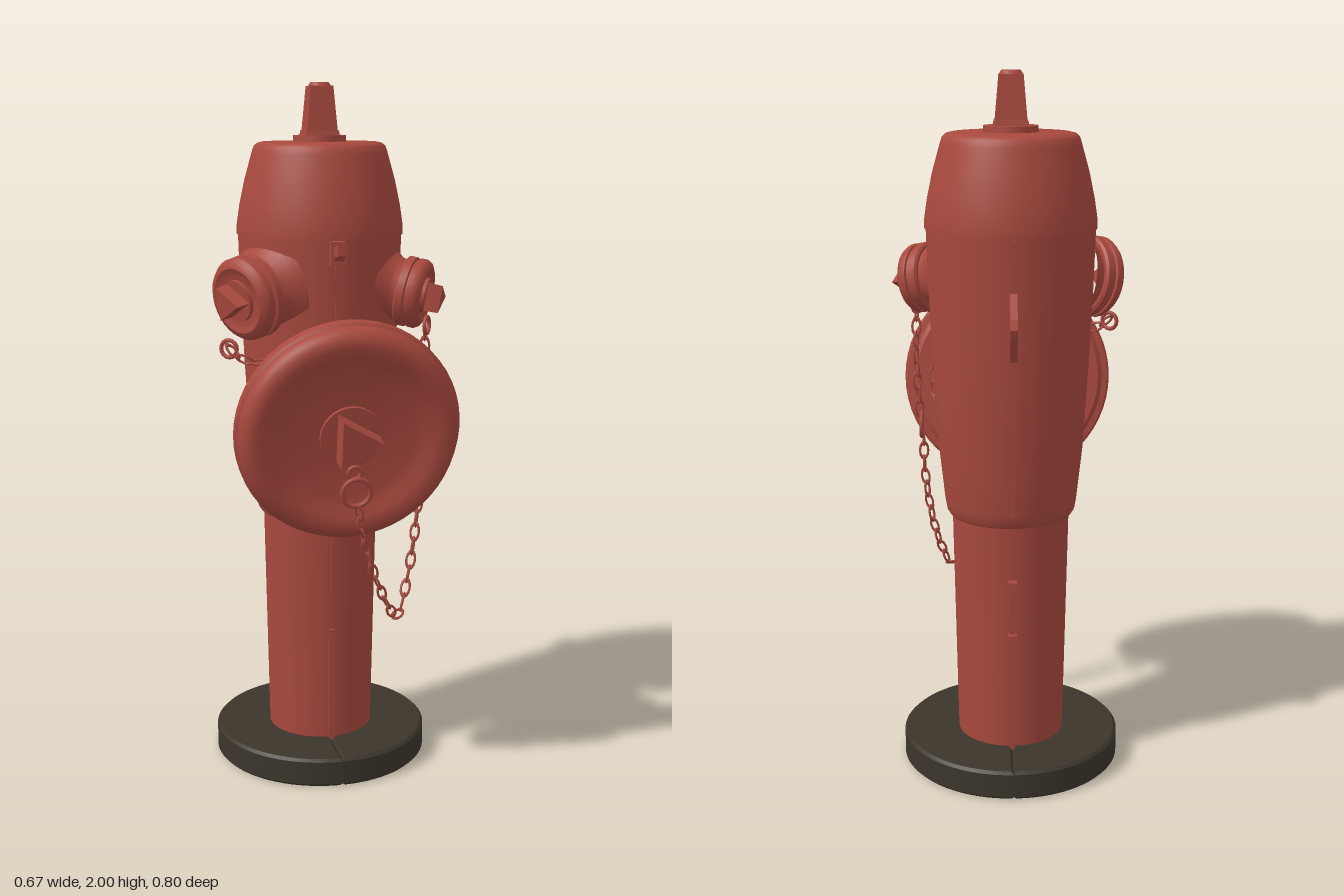
import * as THREE from 'three';
import { toCreasedNormals } from 'three/addons/utils/BufferGeometryUtils.js';

const AX = 0.01, AZ = -0.08;   // centre line of the barrel
const TILT = 0.17;             // downward tilt of the outlets

export function createModel() {
  const root = new THREE.Group();
  root.name = 'fireHydrant';
  const red = new THREE.MeshStandardMaterial({ color: 0xa8493e });
  red.name = 'red paint';
  const dark = new THREE.MeshStandardMaterial({ color: 0x3b352b });
  dark.name = 'dark base';

  const add = (parent, name, geo, mat = red, x = 0, y = 0, z = 0) => {
    const m = new THREE.Mesh(geo, mat);
    m.name = name;
    m.position.set(x, y, z);
    parent.add(m);
    return m;
  };
  const lathe = (pts, seg = 48) => toCreasedNormals(
    new THREE.LatheGeometry(pts.map(p => new THREE.Vector2(p[0], p[1])), seg), 0.6);
  // Turned part whose axis runs along +z
  const latheZ = (pts, seg) => lathe(pts, seg).rotateX(Math.PI / 2);
  // Triangular prism nut along +z, one corner towards +x
  const triNut = (r0, r1, h) => toCreasedNormals(
    new THREE.CylinderGeometry(r1, r0, h, 3, 1, false, Math.PI / 2), 0.3).rotateX(Math.PI / 2);

  // Split base ring, two halves with a narrow gap
  for (const s of [1, -1]) {
    const R = 0.307, r = 0.153, g = 0.006;
    const a = Math.acos(g / R), b = Math.acos(g / r);
    const shape = new THREE.Shape();
    shape.absarc(0, 0, R, -a, a, false);
    shape.absarc(0, 0, r, b, -b, true);
    const geo = new THREE.ExtrudeGeometry(shape, {
      depth: 0.069, bevelEnabled: true, bevelThickness: 0.008, bevelSize: 0.008,
      bevelOffset: 0, bevelSegments: 1, curveSegments: 20,
    });
    geo.rotateX(-Math.PI / 2).translate(0.002, 0.008, 0);
    const half = add(root, s > 0 ? 'baseLeftHalf' : 'baseRightHalf', toCreasedNormals(geo, 0.5), dark, AX, 0, AZ);
    if (s < 0) half.rotation.y = Math.PI;
  }

  // Barrel: lower column and wider upper body
  add(root, 'column', lathe([[0, 0.002], [0.153, 0.002], [0.155, 0.1], [0.168, 0.77]]), red, AX, 0, AZ);
  add(root, 'body', lathe([
    [0.16, 0.758], [0.176, 0.76], [0.184, 0.772], [0.189, 0.8], [0.205, 0.95],
    [0.22, 1.2], [0.23, 1.42], [0.235, 1.58],
  ]), red, AX, 0, AZ);
  add(root, 'bonnet', lathe([
    [0.22, 1.578], [0.239, 1.578], [0.239, 1.6], [0.23, 1.66], [0.215, 1.73], [0.194, 1.805],
    [0.188, 1.824], [0.178, 1.833], [0.165, 1.836], [0, 1.838],
  ]), red, AX, 0, AZ);

  // Operating nut on top
  add(root, 'topWasher', new THREE.CylinderGeometry(0.075, 0.076, 0.018, 32), red, AX, 1.845, AZ);
  const square = (w0, w1, h) => toCreasedNormals(
    new THREE.CylinderGeometry(w1 * Math.SQRT1_2, w0 * Math.SQRT1_2, h, 4), 0.3).rotateY(Math.PI / 4);
  add(root, 'topNutFoot', square(0.098, 0.092, 0.016), red, AX, 1.86, AZ);
  add(root, 'topNut', square(0.087, 0.066, 0.124), red, AX, 1.928, AZ);
  add(root, 'topNutTip', lathe([[0.034, 1.988], [0.026, 2], [0.019, 2], [0.014, 1.991], [0, 1.991]], 20), red, AX, 0, AZ);

  // Casting ribs, front and back
  const rib = (name, side, y0, r0, y1, r1, w, d) => {
    const m = add(root, name, new THREE.BoxGeometry(w, Math.hypot(y1 - y0, r1 - r0), d), red,
      AX, (y0 + y1) / 2, AZ + side * (r0 + r1) / 2);
    m.rotation.x = side * Math.atan2(r1 - r0, y1 - y0);
  };
  rib('frontColumnRib', 1, 0.01, 0.156, 0.43, 0.163, 0.016, 0.016);
  rib('frontSeam', 1, 0.43, 0.161, 0.76, 0.167, 0.007, 0.008);
  rib('frontUpperSeam', 1, 1.3, 0.224, 1.575, 0.235, 0.01, 0.008);
  rib('backColumnRib', -1, 0.01, 0.156, 0.6, 0.166, 0.016, 0.018);
  rib('backBodySeam', -1, 0.8, 0.19, 1.57, 0.235, 0.014, 0.01);
  for (const y of [0.43, 0.59])
    add(root, 'backRibKnob', new THREE.BoxGeometry(0.024, 0.025, 0.03), red, AX, y, AZ - 0.17);

  // Plate cut in the side plane, first axis is z
  const sidePlate = (name, pts, w, hole) => {
    const shape = new THREE.Shape(pts.map(p => new THREE.Vector2(-p[0], p[1])));
    if (hole) shape.holes.push(new THREE.Path().absarc(-hole[0], hole[1], hole[2], 0, Math.PI * 2, true));
    const geo = new THREE.ExtrudeGeometry(shape, { depth: w, bevelEnabled: false, curveSegments: 10 });
    add(root, name, geo.translate(0, 0, -w / 2).rotateY(Math.PI / 2), red, AX);
  };
  sidePlate('backLug', [[-0.29, 1.24], [-0.315, 1.25], [-0.36, 1.32], [-0.37, 1.345], [-0.36, 1.37], [-0.315, 1.43], [-0.29, 1.44]],
    0.02, [-0.338, 1.345, 0.014]);
  sidePlate('frontLatch', [[0.13, 1.505], [0.165, 1.51], [0.185, 1.535], [0.22, 1.54], [0.22, 1.57], [0.17, 1.56], [0.13, 1.575]], 0.028);
  add(root, 'frontLatchBlock', new THREE.BoxGeometry(0.045, 0.065, 0.04), red, AX, 1.543, 0.155);

  // Large front outlet with its cap
  const outlet = new THREE.Group();
  outlet.name = 'frontOutlet';
  outlet.position.set(AX, 1.085, 0.22);
  outlet.rotation.x = TILT;
  root.add(outlet);
  add(outlet, 'outletNeck', latheZ([
    [0.2, -0.32], [0.218, -0.22], [0.212, -0.16], [0.2, -0.12], [0.195, -0.08], [0.2, -0.05], [0.225, -0.03], [0.23, 0.005],
  ]));
  add(outlet, 'outletCap', latheZ([
    [0.18, -0.002], [0.275, -0.002], [0.285, 0.006], [0.285, 0.034], [0.29, 0.04], [0.307, 0.042], [0.313, 0.05],
    [0.313, 0.078], [0.306, 0.084], [0.306, 0.095], [0.298, 0.113], [0.282, 0.126], [0.26, 0.13],
    [0.235, 0.124], [0.21, 0.112], [0.18, 0.105], [0, 0.105],
  ], 56));
  add(outlet, 'capBoss', latheZ([[0.088, 0.1], [0.086, 0.113], [0, 0.114]], 32));
  add(outlet, 'capNut', triNut(0.08, 0.077, 0.07), red, 0, 0, 0.14);
  add(outlet, 'capRing', new THREE.TorusGeometry(0.04, 0.007, 8, 24), red, 0.015, -0.155, 0.135);
  add(outlet, 'capRingEye', new THREE.TorusGeometry(0.018, 0.006, 8, 16), red, 0.01, -0.1, 0.125);

  // Two side outlets; the right one is larger
  const sideOutlet = (name, turn, k) => {
    const g = new THREE.Group();
    g.name = name;
    g.position.set(AX, 1.465, AZ);
    g.rotation.set(TILT, turn, 0, 'YXZ');
    root.add(g);
    add(g, 'nozzle', latheZ([[0.125, 0.19], [0.108, 0.212], [0.092, 0.232], [0.086, 0.25], [0.086, 0.27]].map(p => [p[0] * k, p[1]]), 32));
    add(g, 'nozzleCap', latheZ([
      [0.07, 0.252], [0.094, 0.252], [0.1, 0.257], [0.1, 0.278], [0.093, 0.281], [0.093, 0.288], [0.099, 0.29],
      [0.099, 0.306], [0.092, 0.318], [0.078, 0.325], [0.068, 0.32], [0.058, 0.317], [0, 0.317],
    ].map(p => [p[0] * k, p[1]]), 32));
    add(g, 'nozzleBoss', latheZ([[0.05 * k, 0.31], [0.049 * k, 0.328], [0, 0.328]], 24));
    add(g, 'nozzleNut', triNut(0.048 * k, 0.045 * k, 0.05), red, 0, 0, 0.345);
  };
  sideOutlet('leftOutlet', Math.PI * 0.333, 1);
  sideOutlet('rightOutlet', -Math.PI * 0.32, 1.18);

  // Chains made of alternating oval links
  const linkGeo = new THREE.TorusGeometry(0.0125, 0.0035, 5, 12).scale(1, 1.9, 1).rotateX(Math.PI / 2);
  const chain = (name, pts, closed = false) => {
    const g = new THREE.Group();
    g.name = name;
    root.add(g);
    const curve = new THREE.CatmullRomCurve3(pts.map(p => new THREE.Vector3(...p)), closed);
    const n = Math.round(curve.getLength() / 0.042);
    for (let i = 0; i < n; i++) {
      const u = (i + 0.5) / n, p = curve.getPointAt(u);
      const link = add(g, 'link', linkGeo, red, p.x, p.y, p.z);
      link.lookAt(p.clone().add(curve.getTangentAt(u)));
      link.rotateZ(0.4 + (i % 2) * Math.PI / 2);
    }
  };
  chain('leftNozzleChain', [[0.278, 1.33, 0.09], [0.283, 1.18, 0.09], [0.275, 1.0, 0.1]]);
  chain('capChain', [[0.03, 0.87, 0.33], [0.05, 0.78, 0.295], [0.11, 0.61, 0.25], [0.18, 0.5, 0.19],
    [0.225, 0.6, 0.14], [0.26, 0.8, 0.11], [0.265, 0.95, 0.1]]);
  chain('rightNozzleChain', [[-0.29, 1.29, 0.11], [-0.26, 1.26, 0.13], [-0.2, 1.25, 0.15], [-0.12, 1.3, 0.17]]);
  const collar = [];
  for (let i = 0; i < 16; i++) {
    const a = i / 16 * Math.PI * 2;
    const v = new THREE.Vector3(0.225 * Math.cos(a), 0.235 * Math.sin(a) - 0.01, -0.055)
      .applyEuler(outlet.rotation).add(outlet.position);
    collar.push(v.toArray());
  }
  chain('neckChain', collar, true);
  const leftRing = add(root, 'leftChainRing', new THREE.TorusGeometry(0.036, 0.006, 8, 20), red, 0.27, 0.97, 0.1);
  leftRing.rotation.y = Math.PI / 2;
  add(root, 'leftNozzleRing', new THREE.TorusGeometry(0.024, 0.006, 8, 16), red, 0.278, 1.33, 0.115).rotation.y = 1;
  add(root, 'rightNozzleRing', new THREE.TorusGeometry(0.024, 0.006, 8, 16), red, -0.285, 1.28, 0.1).rotation.y = -0.6;

  return root;
}
